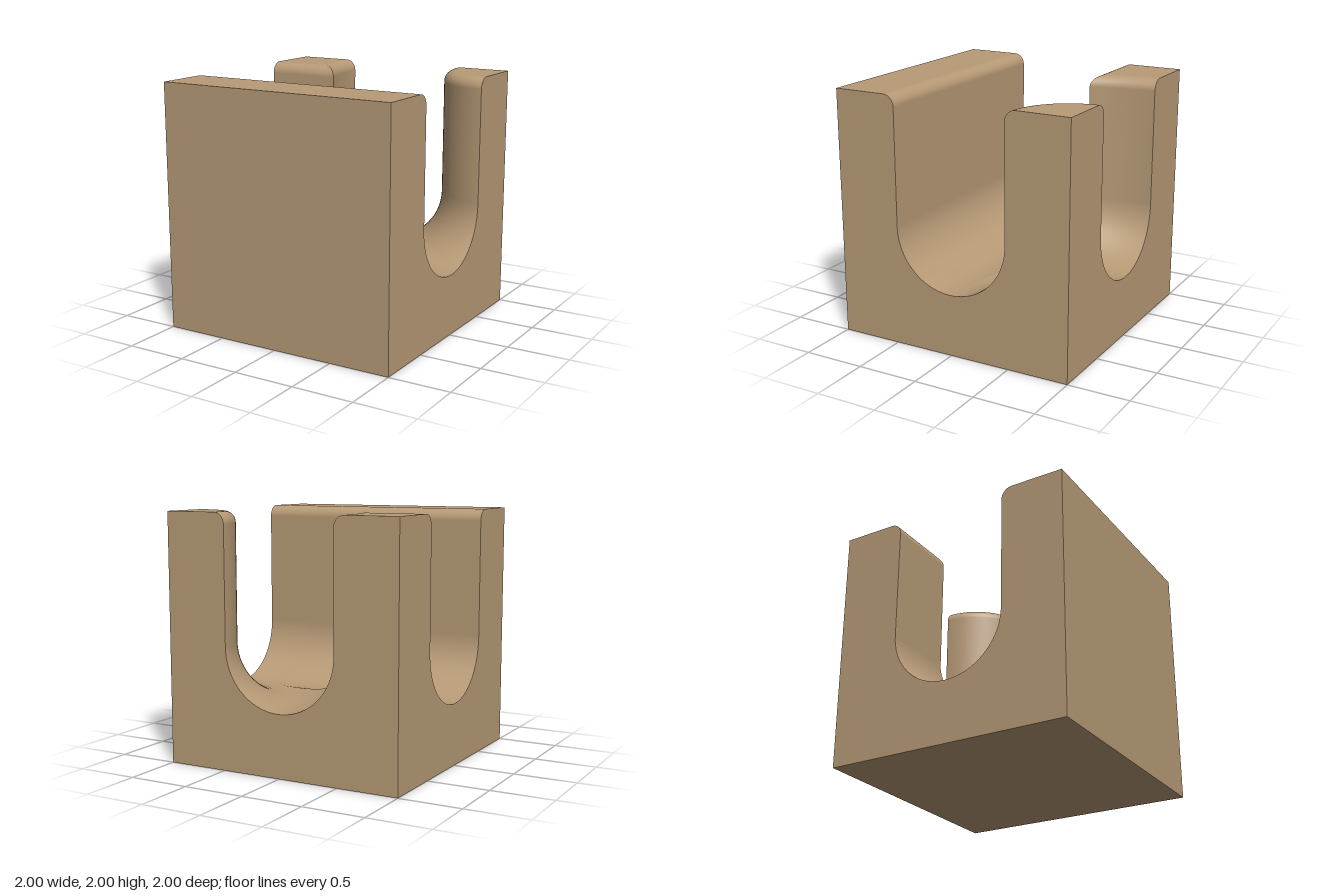
import * as THREE from 'three';

const R = 0.475;      // groove half width
const F = 0.09;       // rounding of the upper rim
const E = R + F;      // where the flat top starts
const AXIS = 0.975;   // height of the groove's round centre

// Half of the groove section: [distance from centre line, height]
function halfSection() {
  const pts = [];
  const n = 36;
  for (let i = 0; i <= n; i++) {
    const a = (i / n) ** 2 * Math.PI / 2;   // finer near the bottom
    pts.push([R * Math.sin(a), AXIS - R * Math.cos(a)]);
  }
  for (let i = 0; i <= 10; i++) {
    const a = i / 10 * Math.PI / 2;
    pts.push([E - F * Math.cos(a), 2 - F + F * Math.sin(a)]);
  }
  return pts;
}

// Smooth surface swept from a section; place(d, y, t) returns a point
function sweep(section, steps, place) {
  const pos = [], idx = [];
  const w = steps + 1;
  section.forEach(([d, y], i) => {
    for (let j = 0; j <= steps; j++) {
      pos.push(...place(d, y, j / steps));
      if (i < section.length - 1 && j < steps) {
        const a = i * w + j;
        idx.push(a, a + w, a + 1, a + w, a + w + 1, a + 1);
      }
    }
  });
  const g = new THREE.BufferGeometry();
  g.setAttribute('position', new THREE.Float32BufferAttribute(pos, 3));
  g.setIndex(idx);
  g.computeVertexNormals();
  return g;
}

// Flat shape from [a, b] points
function flat(points) {
  return new THREE.ShapeGeometry(new THREE.Shape(points.map(([a, b]) => new THREE.Vector2(a, b))));
}

// Horizontal top face from [x, z] points
function topFace(points) {
  return flat(points.map(([x, z]) => [x, -z])).rotateX(-Math.PI / 2).translate(0, 2, 0);
}

export function createModel() {
  const group = new THREE.Group();
  const wood = new THREE.MeshStandardMaterial({ color: 0xb89b77, side: THREE.DoubleSide });
  const add = (name, geometry) => {
    const mesh = new THREE.Mesh(geometry, wood);
    mesh.name = name;
    group.add(mesh);
  };

  const half = halfSection();
  const mirrored = half.slice(1).reverse().map(([d, y]) => [-d, y]);
  const full = [...mirrored, ...half];

  // Straight groove: front half, and back half up to its mitre with the bend
  const mitreX = d => 1 - 2 * Math.sqrt(Math.max(d, 0));
  add('straightGrooveFront', sweep(half, 8, (d, y, t) => [-1 + 2 * t, y, d]));
  add('straightGrooveBack', sweep(half, 12, (d, y, t) => [THREE.MathUtils.lerp(mitreX(d), -1, t), y, -d]));

  // Quarter bend around the back corner at (1, -1), from the back face to the side
  const mitreAngle = d => (d > 0 ? Math.acos((1 - d) / (1 + d)) : 0);
  const onBend = (d, angle) => [1 - (1 + d) * Math.sin(angle), -1 + (1 + d) * Math.cos(angle)];
  add('curvedGroove', sweep(full, 48, (d, y, t) => {
    const [x, z] = onBend(d, THREE.MathUtils.lerp(Math.PI / 2, mitreAngle(d), t));
    return [x, y, z];
  }));

  // Flat tops of the front wall and the two back pillars
  const arc = (d, from) => Array.from({ length: 49 }, (_, i) =>
    onBend(d, THREE.MathUtils.lerp(Math.PI / 2, from, i / 48)));
  add('frontWallTop', topFace([[-1, E], [1, E], [1, 1], [-1, 1]]));
  add('rightPillarTop', topFace([[-1, -1], ...arc(E, mitreAngle(E)), [-1, -E]]));
  add('leftPillarTop', topFace([[1, -1], ...arc(-E, 0)]));

  // Three outer faces cut by the U-shaped groove opening
  const opening = () => flat([[-1, 0], [1, 0], [1, 2], ...full.slice().reverse(), [-1, 2]]).translate(0, 0, 1);
  add('leftSide', opening().rotateY(Math.PI / 2));
  add('rightSide', opening().rotateY(-Math.PI / 2));
  add('backSide', opening().rotateY(Math.PI));

  // Plain front and underside
  add('frontSide', new THREE.PlaneGeometry(2, 2).translate(0, 1, 1));
  add('underside', new THREE.PlaneGeometry(2, 2).rotateX(Math.PI / 2));

  return group;
}
